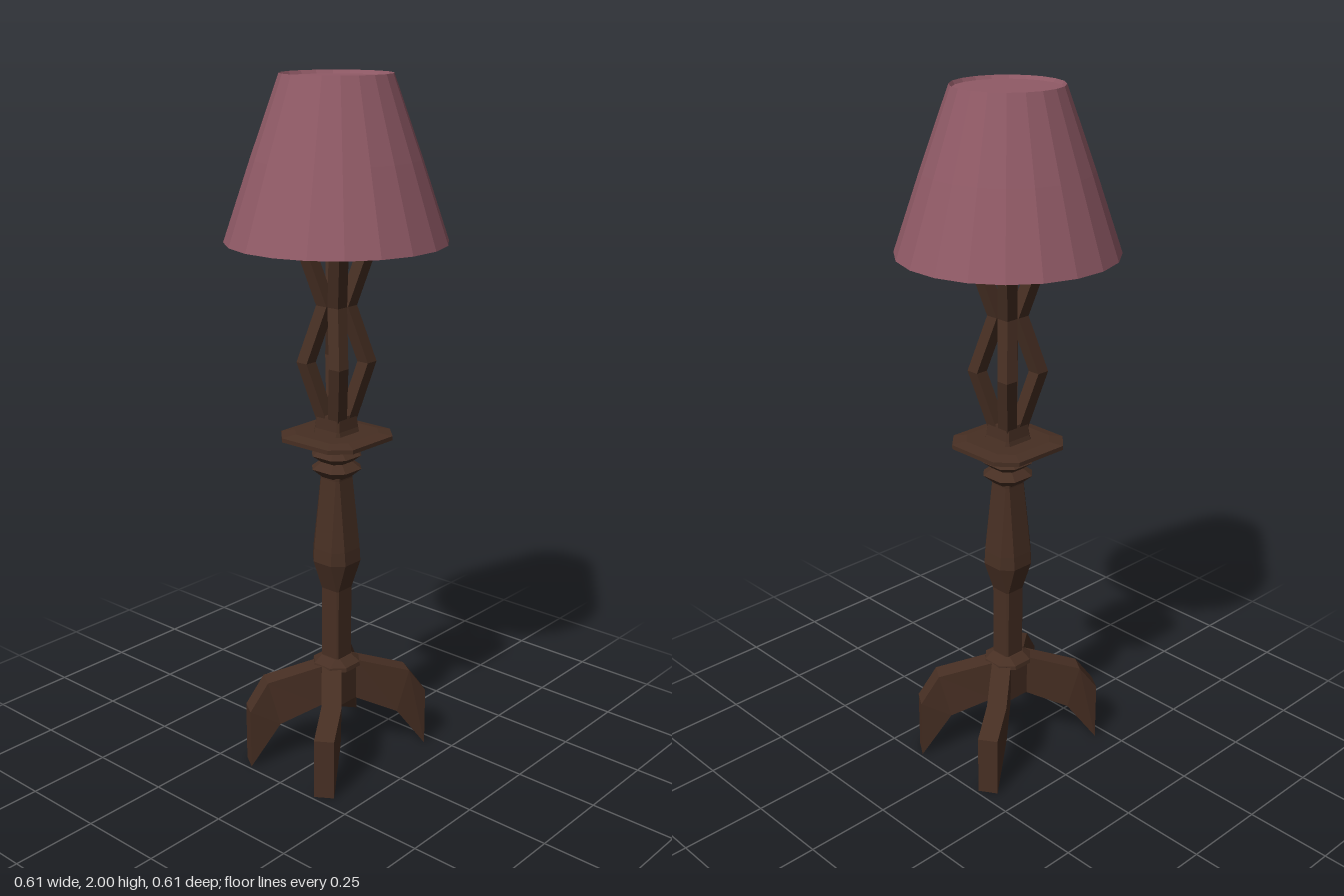
import * as THREE from 'three';

// Joins equal-sized rings of points (counter-clockwise about the travel direction) and caps both ends
function loft(rings) {
  const n = rings[0].length, pos = [];
  const tri = (a, b, c) => pos.push(...a, ...b, ...c);
  for (let i = 0; i < rings.length - 1; i++) {
    for (let j = 0; j < n; j++) {
      const k = (j + 1) % n, lo = rings[i], hi = rings[i + 1];
      tri(lo[j], lo[k], hi[k]);
      tri(lo[j], hi[k], hi[j]);
    }
  }
  const first = rings[0], last = rings[rings.length - 1];
  for (let j = 1; j < n - 1; j++) {
    tri(first[0], first[j + 1], first[j]);
    tri(last[0], last[j], last[j + 1]);
  }
  const g = new THREE.BufferGeometry();
  g.setAttribute('position', new THREE.Float32BufferAttribute(pos, 3));
  g.computeVertexNormals();
  return g;
}

// Square of half-width h with chamfered corners; f is half the flat side
const chamfered = (y, h, f) =>
  [[h, f], [h, -f], [f, -h], [-f, -h], [-h, -f], [-h, f], [-f, h], [f, h]].map(([x, z]) => [x, y, z]);

const round = (y, r, n = 20) => Array.from({ length: n }, (_, i) => {
  const a = (i + 0.5) / n * Math.PI * 2;
  return [r * Math.cos(a), y, -r * Math.sin(a)];
});

const square = (x, y, z, h) => [[x + h, y, z + h], [x + h, y, z - h], [x - h, y, z - h], [x - h, y, z + h]];

export function createModel() {
  const group = new THREE.Group();
  const wood = new THREE.MeshStandardMaterial({ color: 0x472f23 });
  wood.name = 'dark wood';
  const fabric = new THREE.MeshStandardMaterial({ color: 0x905a66 });
  fabric.name = 'dusty rose fabric';

  const add = (name, geometry, material = wood) => {
    const mesh = new THREE.Mesh(geometry, material);
    mesh.name = name;
    group.add(mesh);
    return mesh;
  };
  const turned = (name, profile) => add(name, loft(profile.map(p => chamfered(...p))));

  // Four splayed legs: each station is [x, z, y] for its top and its bottom
  const stations = [
    [[0.024, 0.05, 0.305], [0.024, 0.05, 0.18]],
    [[0.13, 0.17, 0.26], [0.105, 0.145, 0.125]],
    [[0.15, 0.225, 0.18], [0.15, 0.225, 0]],
  ];
  for (const sx of [1, -1]) {
    for (const sz of [1, -1]) {
      const wx = 0.84 * sz * 0.029, wz = -0.54 * sx * 0.029;
      const at = ([x, z, y], side) => [x * sx + wx * side, y, z * sz + wz * side];
      add('leg', loft(stations.map(([top, bottom]) =>
        [at(bottom, -1), at(bottom, 1), at(top, 1), at(top, -1)])));
    }
  }

  // Hub joining the legs
  add('hub', new THREE.BoxGeometry(0.09, 0.125, 0.1)).position.y = 0.2425;
  turned('hubCollar', [[0.295, 0.066, 0.03], [0.307, 0.064, 0.03], [0.325, 0.036, 0.026]]);

  // Column with a swelling in the middle
  turned('column', [
    [0.3, 0.033, 0.028], [0.54, 0.033, 0.028], [0.63, 0.063, 0.033],
    [0.67, 0.06, 0.033], [0.88, 0.036, 0.028], [0.9, 0.036, 0.028],
  ]);

  // Two pointed rings below the tray
  turned('neckRings', [
    [0.885, 0.038, 0.02], [0.91, 0.064, 0.034], [0.93, 0.04, 0.022],
    [0.95, 0.064, 0.034], [0.97, 0.038, 0.022], [0.99, 0.045, 0.025],
  ]);

  // Tray and the block standing on it
  turned('tray', [[0.982, 0.06, 0.035], [0.998, 0.135, 0.085], [1.01, 0.135, 0.085], [1.017, 0.1, 0.065]]);
  turned('trayBlock', [[1.01, 0.052, 0.04], [1.03, 0.046, 0.04], [1.07, 0.042, 0.036]]);

  // Four zigzag struts, running up inside the shade
  const zigzag = [[1.05, 0.021], [1.22, 0.06], [1.38, 0.021], [1.54, 0.06], [1.7, 0.021]];
  for (const sx of [1, -1]) {
    for (const sz of [1, -1]) {
      add('strut', loft(zigzag.map(([y, c]) => square(c * sx, y, c * sz, 0.019))));
    }
  }

  // Shade: inner wall down, outer wall up, closed by a slightly sunken top
  add('shade', loft([
    round(1.97, 0.14), round(1.557, 0.294), round(1.557, 0.307),
    round(1.78, 0.231), round(2, 0.152), round(1.99, 0.146),
  ]), fabric);

  return group;
}
